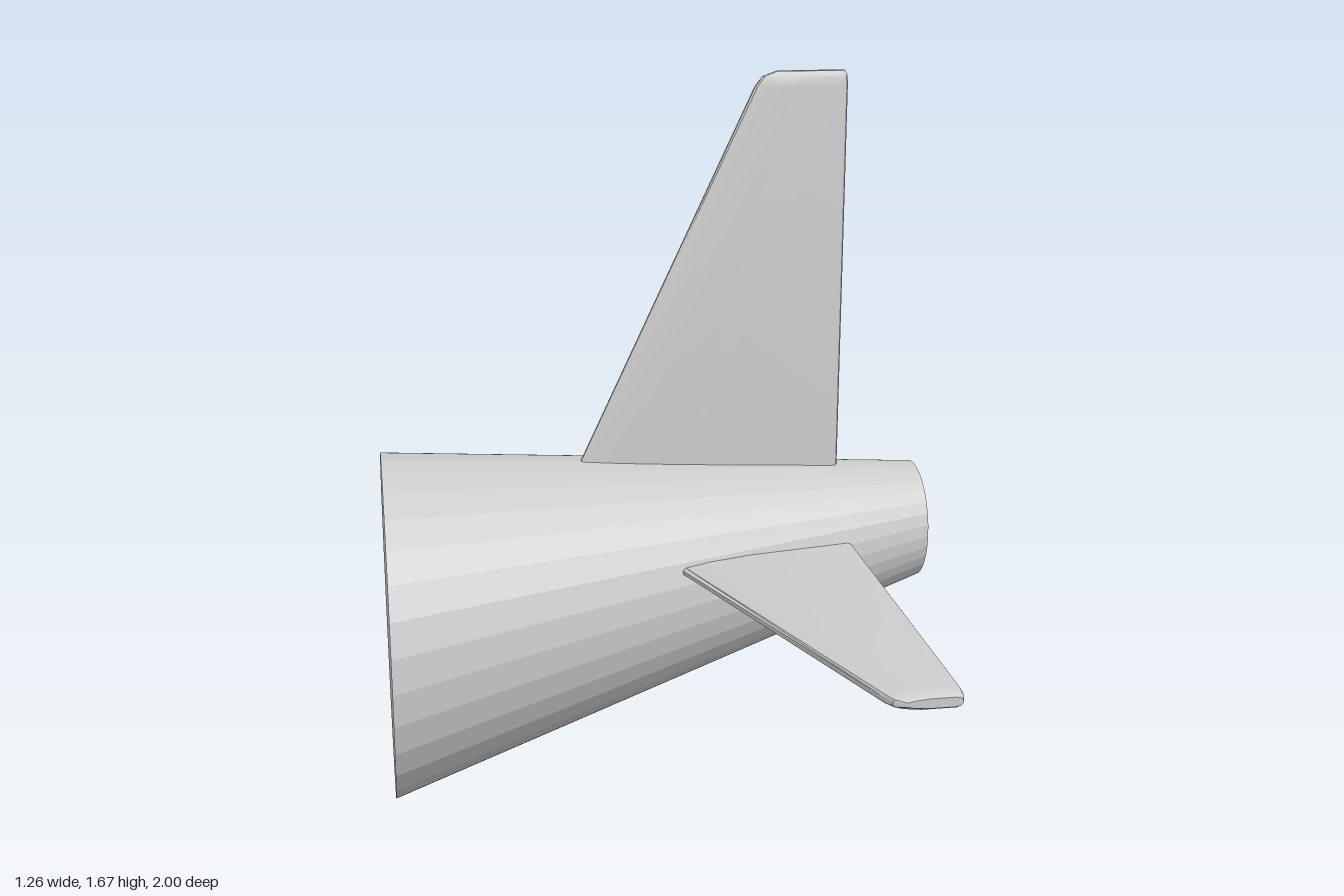
import * as THREE from 'three';
import { toCreasedNormals } from 'three/addons/utils/BufferGeometryUtils.js';

const grey = { color: 0xcccccc };

// Tapered cone along x whose axis rises towards the tail
function coneGeometry() {
  const g = new THREE.CylinderGeometry(0.138, 0.404, 1.26, 32);
  g.rotateZ(-Math.PI / 2);
  const p = g.attributes.position;
  for (let i = 0; i < p.count; i++) {
    const t = (p.getX(i) + 0.63) / 1.26;
    p.setY(i, p.getY(i) + THREE.MathUtils.lerp(0.405, 0.6, t));
  }
  g.computeVertexNormals();
  return g;
}

// Aerofoil-like section: thin nose, full thickness aft, rounded trailing edge
function section([span, le, te, scale]) {
  const c = te - le;
  const half = [
    [le, 0.004], [le + 0.02 * c, 0.009], [le + 0.15 * c, 0.015], [le + 0.4 * c, 0.02],
    [te - 0.014, 0.02], [te - 0.004, 0.016], [te, 0.009],
  ];
  const upper = half.map(([x, t]) => [x, span, t * scale]);
  const lower = half.map(([x, t]) => [x, span, -t * scale]).reverse();
  return [...upper, ...lower];
}

// Loft stations [span, leading x, trailing x, thickness scale] along +y and close both ends
function finGeometry(stations) {
  const rings = stations.map(section);
  const n = rings[0].length;
  const pos = rings.flat(2);
  const index = [];
  for (let r = 0; r < rings.length - 1; r++) {
    for (let i = 0; i < n; i++) {
      const a = r * n + i, b = r * n + (i + 1) % n;
      index.push(a, b, b + n, a, b + n, a + n);
    }
  }
  const top = (rings.length - 1) * n;
  for (let i = 1; i < n - 1; i++) {
    index.push(0, i + 1, i, top, top + i, top + i + 1);
  }
  const g = new THREE.BufferGeometry();
  g.setAttribute('position', new THREE.Float32BufferAttribute(pos, 3));
  g.setIndex(index);
  return toCreasedNormals(g, 0.5);
}

export function createModel() {
  const model = new THREE.Group();
  model.name = 'tailSection';

  const add = (name, geometry, flatShading = false) => {
    const mesh = new THREE.Mesh(geometry, new THREE.MeshStandardMaterial({ ...grey, flatShading }));
    mesh.name = name;
    model.add(mesh);
    return mesh;
  };

  add('tailCone', coneGeometry(), true);

  // Upright fin
  add('verticalFin', finGeometry([
    [0.72, -0.2, 0.438, 1],
    [1.635, 0.228, 0.438, 1],
    [1.657, 0.245, 0.437, 0.85],
    [1.668, 0.275, 0.432, 0.5],
  ]));

  // Mirrored pair of horizontal fins
  const stabilizer = finGeometry([
    [0.15, -0.01, 0.438, 1],
    [0.965, 0.286, 0.438, 1],
    [0.988, 0.298, 0.437, 0.85],
    [1.0, 0.322, 0.432, 0.5],
  ]);
  for (const side of [1, -1]) {
    const fin = add(side > 0 ? 'frontStabilizer' : 'backStabilizer', stabilizer);
    fin.rotation.x = side * Math.PI / 2;
    fin.position.y = 0.589;
  }

  return model;
}
